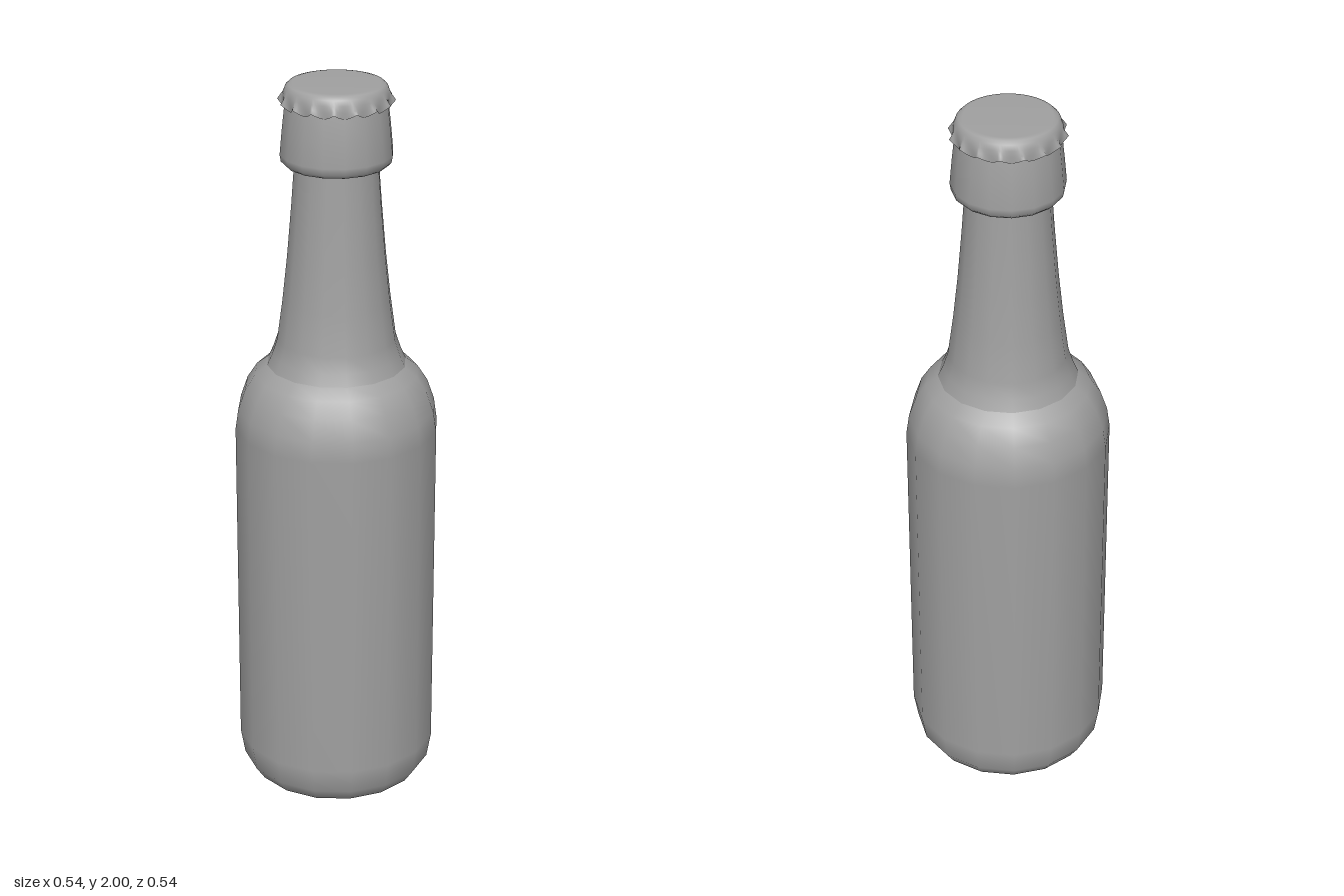
import * as THREE from 'three';
import { mergeVertices } from 'three/addons/utils/BufferGeometryUtils.js';

const grey = new THREE.MeshStandardMaterial({ color: 0xa0a0a0, side: THREE.DoubleSide });
grey.name = 'grey';

// Lathe of [radius, height] pairs, listed from bottom to top
function turned(name, profile, sides) {
  const points = profile.map(([r, y]) => new THREE.Vector2(r, y));
  const mesh = new THREE.Mesh(new THREE.LatheGeometry(points, sides), grey);
  mesh.name = name;
  return mesh;
}

// Crown cap whose skirt flares into sixteen pointed flutes
function crownCap() {
  const cap = turned('crownCap', [
    [0.137, 1.942], [0.137, 1.958], [0.136, 1.975], [0.131, 1.989],
    [0.123, 1.997], [0.112, 2], [0, 2],
  ], 128);
  const p = cap.geometry.attributes.position;
  for (let i = 0; i < p.count; i++) {
    const x = p.getX(i), y = p.getY(i), z = p.getZ(i);
    const drop = THREE.MathUtils.clamp((1.975 - y) / 0.033, 0, 1);
    const point = 1 - Math.abs(Math.cos(8 * Math.atan2(x, z)));
    const flare = 1 + 0.1 * point * drop;
    p.setXYZ(i, x * flare, y + 0.013 * point * drop, z * flare);
  }
  cap.geometry.deleteAttribute('uv');
  cap.geometry.deleteAttribute('normal');
  cap.geometry = mergeVertices(cap.geometry);
  cap.geometry.computeVertexNormals();
  return cap;
}

export function createModel() {
  const bottle = new THREE.Group();
  bottle.name = 'bottle';

  // Body with rounded base and shoulder
  bottle.add(turned('body', [
    [0, 0.004], [0.16, 0.004], [0.2, 0.01], [0.235, 0.028], [0.26, 0.065],
    [0.272, 0.135], [0.272, 1.06], [0.264, 1.115], [0.245, 1.17],
    [0.218, 1.212], [0.185, 1.238],
  ], 16));

  // Tapering neck
  bottle.add(turned('neck', [
    [0.185, 1.238], [0.172, 1.268], [0.158, 1.31], [0.143, 1.42],
    [0.13, 1.54], [0.118, 1.68], [0.11, 1.79],
  ], 16));

  // Thick lip around the mouth
  bottle.add(turned('lip', [
    [0.107, 1.785], [0.134, 1.787], [0.144, 1.797], [0.147, 1.815],
    [0.141, 1.88], [0.134, 1.945], [0.127, 1.968], [0, 1.968],
  ], 16));

  bottle.add(crownCap());
  return bottle;
}
